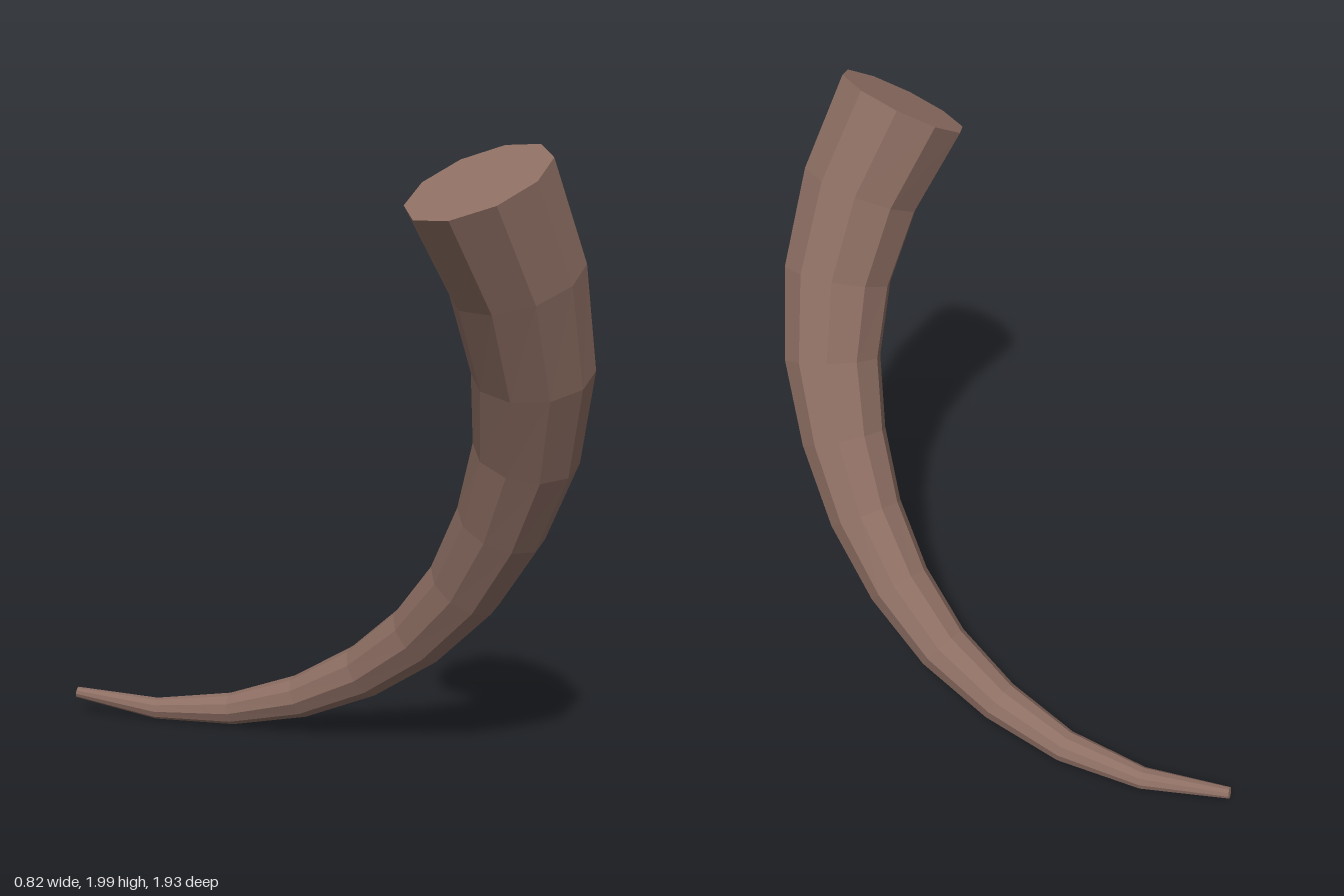
import * as THREE from 'three';

const SIDES = 10;

// Centre line of the horn, from the wide base to the narrow tip
const CENTRES = [
  [-0.127, 1.895, 0.745], [0.035, 1.622, 0.75], [0.158, 1.345, 0.707], [0.235, 1.085, 0.617],
  [0.266, 0.842, 0.49], [0.269, 0.614, 0.335], [0.24, 0.418, 0.15], [0.178, 0.258, -0.053],
  [0.077, 0.137, -0.27], [-0.048, 0.063, -0.498], [-0.21, 0.042, -0.73], [-0.399, 0.088, -0.955],
].map((p) => new THREE.Vector3(...p));

// Lofts a tapering ring along the centre line without twisting it
function taperedTube(centres, startRadius, endRadius, startTangent, startSide) {
  const last = centres.length - 1;
  const positions = [];
  const indices = [];
  const side = startSide.clone();
  centres.forEach((centre, i) => {
    const tangent = i === 0
      ? startTangent.clone()
      : centres[Math.min(i + 1, last)].clone().sub(centres[i - 1]);
    tangent.normalize();
    side.addScaledVector(tangent, -side.dot(tangent)).normalize();
    const up = tangent.clone().cross(side);
    const radius = THREE.MathUtils.lerp(startRadius, endRadius, i / last);
    for (let j = 0; j < SIDES; j++) {
      const angle = (j / SIDES) * Math.PI * 2;
      const p = centre.clone()
        .addScaledVector(side, radius * Math.cos(angle))
        .addScaledVector(up, radius * Math.sin(angle));
      positions.push(p.x, p.y, p.z);
    }
  });

  // Cap centres
  const startCap = positions.length / 3;
  const endCap = startCap + 1;
  positions.push(...centres[0].toArray(), ...centres[last].toArray());

  for (let j = 0; j < SIDES; j++) {
    const k = (j + 1) % SIDES;
    for (let i = 0; i < last; i++) {
      const a = i * SIDES + j;
      const b = i * SIDES + k;
      indices.push(a, b, b + SIDES, a, b + SIDES, a + SIDES);
    }
    indices.push(startCap, k, j);
    indices.push(endCap, last * SIDES + j, last * SIDES + k);
  }

  const indexed = new THREE.BufferGeometry();
  indexed.setAttribute('position', new THREE.Float32BufferAttribute(positions, 3));
  indexed.setIndex(indices);
  const geometry = indexed.toNonIndexed();
  geometry.computeVertexNormals();
  return geometry;
}

export function createModel() {
  const hornBrown = new THREE.MeshStandardMaterial({ color: 0x8d6e63, flatShading: true });
  hornBrown.name = 'horn brown';

  const group = new THREE.Group();
  group.name = 'curvedHorn';

  // Horn with flat caps at base and tip
  const horn = new THREE.Mesh(
    taperedTube(CENTRES, 0.22, 0.019, new THREE.Vector3(0.5, -0.866, 0), new THREE.Vector3(0, 0, 1)),
    hornBrown,
  );
  horn.name = 'horn';
  group.add(horn);
  return group;
}
